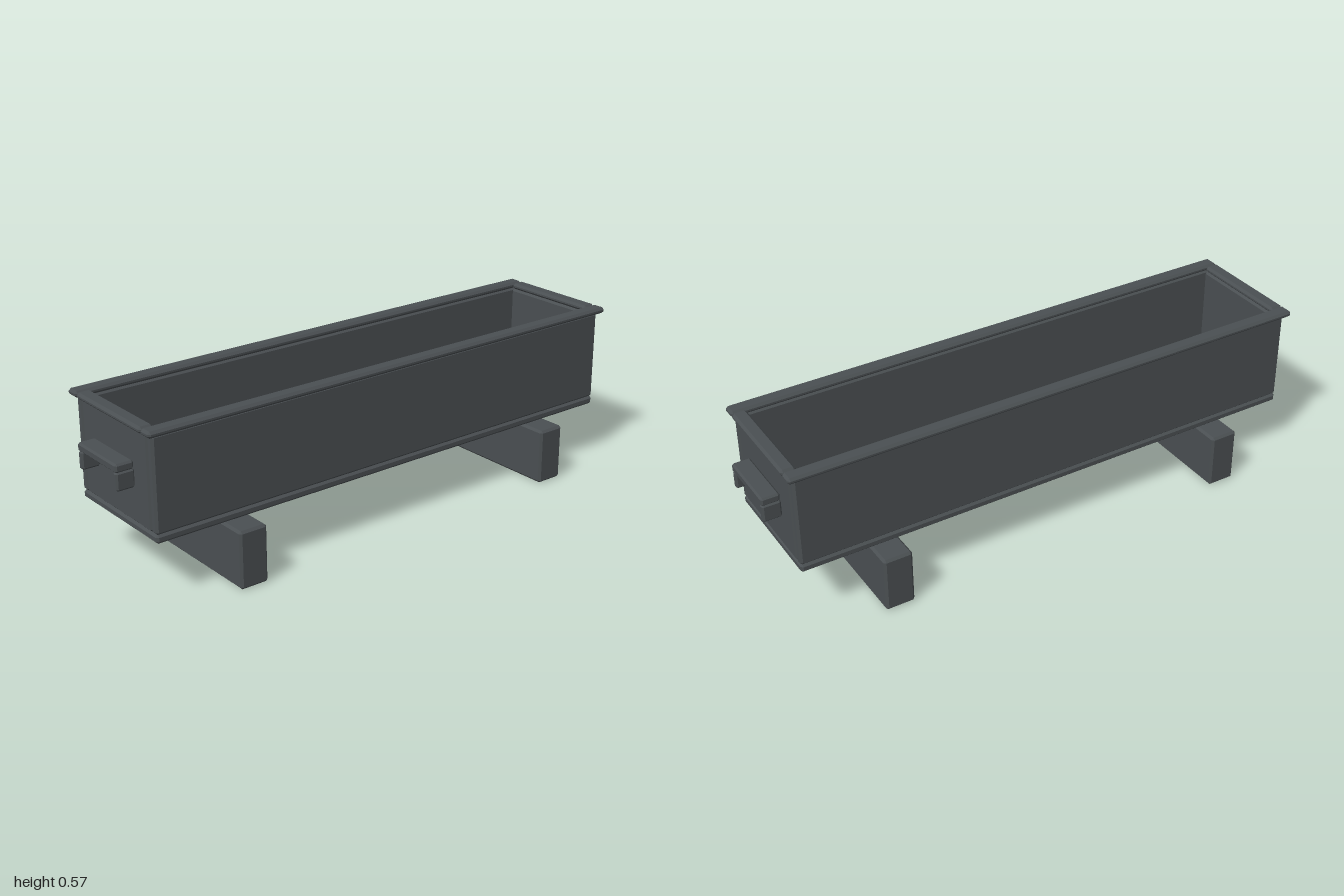
import * as THREE from 'three';
import { ConvexGeometry } from 'three/addons/geometries/ConvexGeometry.js';

// Box given by its min/max ranges, with flat chamfers of size c on every edge
function chamferBox([x0, x1], [y0, y1], [z0, z1], c) {
  const h = [(x1 - x0) / 2, (y1 - y0) / 2, (z1 - z0) / 2];
  const points = [];
  for (const sx of [-1, 1]) for (const sy of [-1, 1]) for (const sz of [-1, 1]) {
    for (let axis = 0; axis < 3; axis++) {
      const [x, y, z] = h.map((v, i) => (i === axis ? v : v - c));
      points.push(new THREE.Vector3(sx * x, sy * y, sz * z));
    }
  }
  const geometry = new ConvexGeometry(points);
  geometry.translate((x0 + x1) / 2, (y0 + y1) / 2, (z0 + z1) / 2);
  return geometry;
}

export function createModel() {
  const model = new THREE.Group();
  model.name = 'trough';
  const iron = new THREE.MeshStandardMaterial({ color: 0x4a4f52 });
  iron.name = 'dark iron';

  function add(name, x, y, z, c = 0.008, parent = model) {
    const mesh = new THREE.Mesh(chamferBox(x, y, z, c), iron);
    mesh.name = name;
    parent.add(mesh);
    return mesh;
  }
  // Range on one side of the centre, mirrored when s is -1
  const side = (s, a, b) => (s > 0 ? [a, b] : [-b, -a]);

  add('floor', [-0.935, 0.935], [0.199, 0.229], [-0.22, 0.22]);

  for (const s of [-1, 1]) {
    const where = s > 0 ? 'left' : 'right';
    const face = s > 0 ? 'front' : 'back';

    // Walls
    add(face + 'Wall', [-0.935, 0.935], [0.228, 0.549], side(s, 0.19, 0.22));
    add(where + 'EndWall', side(s, 0.905, 0.935), [0.228, 0.549], [-0.19, 0.19]);

    // Overhanging rim
    add(face + 'Rim', [-0.955, 0.955], [0.548, 0.57], side(s, 0.187, 0.238));
    add(where + 'EndRim', side(s, 0.905, 0.955), [0.548, 0.57], [-0.187, 0.187]);

    // Cross beam foot
    add(where + 'Foot', side(s, 0.592, 0.694), [0, 0.198], [-0.303, 0.303]);

    // End handle: a bar on two brackets
    const handle = new THREE.Group();
    handle.name = where + 'Handle';
    model.add(handle);
    add('handleBar', side(s, 0.937, 1), [0.411, 0.44], [-0.114, 0.114], 0.006, handle);
    for (const t of [-1, 1]) {
      add('handleBracket', side(s, 0.935, 0.999), [0.351, 0.413], side(t, 0.092, 0.114), 0.006, handle);
    }
  }
  return model;
}
